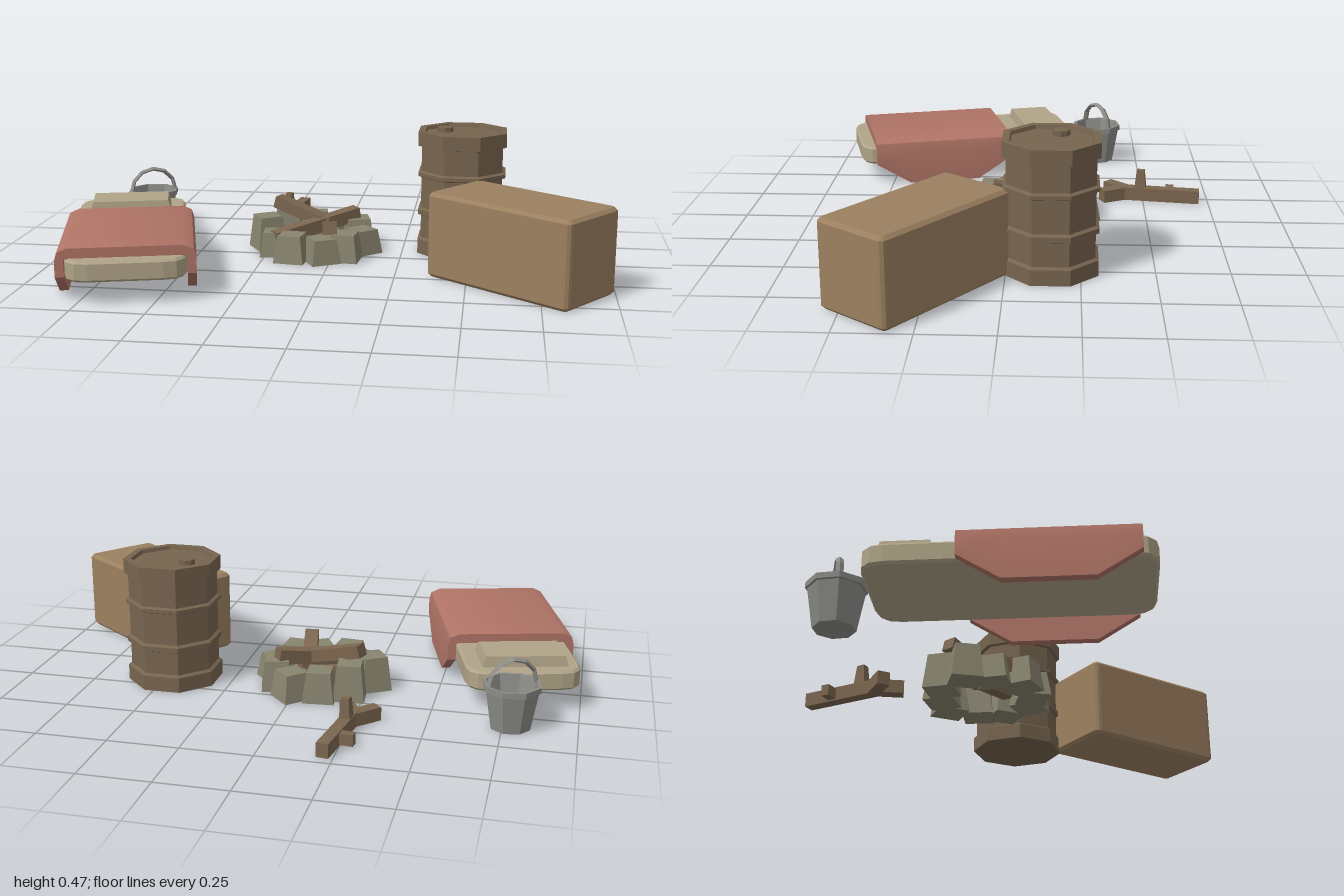
import * as THREE from 'three';
import { toCreasedNormals } from 'three/addons/utils/BufferGeometryUtils.js';

const mat = (color) => new THREE.MeshStandardMaterial({ color, flatShading: true, side: THREE.DoubleSide });
const CLOTH = mat(0xb0a488), RED = mat(0xb07466), CRATE = mat(0x9c8060);
const DRUM = mat(0x77644f), METAL = mat(0x8c8c88), STONE = mat(0x88846f), WOOD = mat(0x7b6650);

function add(parent, name, geometry, material, x = 0, y = 0, z = 0, ry = 0) {
  const mesh = new THREE.Mesh(geometry, material);
  mesh.name = name;
  mesh.position.set(x, y, z);
  mesh.rotation.y = ry;
  parent.add(mesh);
  return mesh;
}

function group(parent, name, x, z, ry = 0) {
  const g = new THREE.Group();
  g.name = name;
  g.position.set(x, 0, z);
  g.rotation.y = ry;
  parent.add(g);
  return g;
}

const lathe = (points, sides) =>
  new THREE.LatheGeometry(points.map(([r, y]) => new THREE.Vector2(r, y)), sides);

// Four-sided block that narrows to the top, standing on y = 0
function taperedBox(w, h, d, top) {
  const geo = new THREE.BoxGeometry(w, h, d).translate(0, h / 2, 0);
  const p = geo.attributes.position;
  for (let i = 0; i < p.count; i++) {
    if (p.getY(i) > h / 2) p.setXYZ(i, p.getX(i) * top, h, p.getZ(i) * top);
  }
  return geo;
}

// Rounded slab lying flat, with a small bevel
function slab(w, d, h, r, bevel) {
  const x = w / 2 - bevel, y = d / 2 - bevel;
  const s = new THREE.Shape();
  s.moveTo(-x + r, -y);
  s.lineTo(x - r, -y).quadraticCurveTo(x, -y, x, -y + r);
  s.lineTo(x, y - r).quadraticCurveTo(x, y, x - r, y);
  s.lineTo(-x + r, y).quadraticCurveTo(-x, y, -x, y - r);
  s.lineTo(-x, -y + r).quadraticCurveTo(-x, -y, -x + r, -y);
  return new THREE.ExtrudeGeometry(s, {
    depth: h - 2 * bevel, bevelSize: bevel, bevelThickness: bevel, bevelSegments: 1, curveSegments: 3,
  }).rotateX(-Math.PI / 2).translate(0, bevel, 0);
}

// Blanket folded over the bed; its side hems dip towards the middle
function blanketGeometry() {
  const stations = [[-0.275, 0.085], [-0.14, 0], [0.14, 0], [0.275, 0.085]];
  const section = (hem) => [
    [-0.23, hem], [-0.23, 0.14], [-0.222, 0.168], [-0.19, 0.182],
    [0.19, 0.182], [0.222, 0.168], [0.23, 0.14], [0.23, hem],
    [0.2, hem], [0.2, 0.146], [-0.2, 0.146], [-0.2, hem],
  ];
  const pos = [], index = [], n = 12;
  for (const [z, hem] of stations) for (const [x, y] of section(hem)) pos.push(x, y, z);
  for (let k = 0; k < 3; k++) {
    for (let i = 0; i < n; i++) {
      const a = k * n + i, b = k * n + (i + 1) % n, c = b + n, d = a + n;
      index.push(a, d, c, a, c, b);
    }
  }
  const cap = [[0, 1, 10], [0, 10, 11], [1, 2, 10], [2, 3, 10], [3, 4, 9], [3, 9, 10],
    [4, 5, 9], [5, 6, 9], [6, 7, 8], [6, 8, 9]];
  for (const [a, b, c] of cap) index.push(a, b, c, c + 3 * n, b + 3 * n, a + 3 * n);
  const geo = new THREE.BufferGeometry();
  geo.setAttribute('position', new THREE.Float32BufferAttribute(pos, 3));
  geo.setIndex(index);
  return toCreasedNormals(geo, 0.7);
}

// Squared stick between two points
function beam(parent, name, a, b, w, h) {
  const from = new THREE.Vector3(...a), to = new THREE.Vector3(...b);
  const mesh = new THREE.Mesh(new THREE.BoxGeometry(w, h, from.distanceTo(to)), WOOD);
  mesh.name = name;
  mesh.position.copy(from).lerp(to, 0.5);
  mesh.lookAt(to);
  parent.add(mesh);
}

export function createModel() {
  const model = new THREE.Group();
  model.name = 'campsite';

  // Bed with pillow and blanket
  const bed = group(model, 'bed', -0.7, 0.235, 0.262);
  add(bed, 'mattress', slab(0.4, 0.895, 0.07, 0.07, 0.008), CLOTH, 0, 0.078, 0);
  add(bed, 'pillow', taperedBox(0.3, 0.038, 0.165, 0.93), CLOTH, -0.005, 0.147, -0.315);
  const blanketMat = RED.clone();
  blanketMat.flatShading = false;
  add(bed, 'blanket', blanketGeometry(), blanketMat, 0, 0, 0.122);

  // Crate with chamfered edges
  add(model, 'crate', slab(0.59, 0.29, 0.302, 0.012, 0.012), CRATE, 0.679, 0, 0.273, -0.648);

  // Ribbed eight-sided drum
  const drum = group(model, 'drum', 0.467, -0.15, Math.PI / 8);
  add(drum, 'drumBody', lathe([
    [0, 0], [0.172, 0], [0.172, 0.055], [0.16, 0.062], [0.16, 0.145], [0.172, 0.15], [0.172, 0.168],
    [0.16, 0.175], [0.16, 0.29], [0.172, 0.295], [0.172, 0.308], [0.16, 0.314], [0.16, 0.405],
    [0.174, 0.408], [0.174, 0.46], [0.148, 0.46], [0.145, 0.447], [0, 0.447],
  ], 8), DRUM);
  add(model, 'drumCap', new THREE.CylinderGeometry(0.03, 0.03, 0.02, 8), DRUM, 0.4, 0.455, -0.18);

  // Bucket with a strap handle
  const bucket = group(model, 'bucket', -0.775, -0.33, 0.55);
  add(bucket, 'bucketBody', lathe([
    [0, 0], [0.07, 0], [0.093, 0.135], [0.1, 0.137], [0.1, 0.157], [0.09, 0.157], [0.064, 0.012], [0, 0.012],
  ], 8), METAL);
  const handle = add(bucket, 'bucketHandle', new THREE.TorusGeometry(0.09, 0.008, 4, 6, Math.PI), METAL, 0, 0.15, 0);
  handle.scale.z = 1.6;

  // Ring of stones: x, z, turn, height
  const fire = group(model, 'campfire', 0, 0);
  const stones = [
    [-0.2, -0.2, 0.1, 0.13], [-0.1, -0.24, 0.08, 0.11], [0, -0.25, 0.75, 0.1], [0.075, -0.165, 0.25, 0.11],
    [0.1, -0.07, 0.75, 0.09], [0.05, 0.04, -0.1, 0.1], [-0.03, 0.08, 0.5, 0.09], [-0.14, 0.08, -0.12, 0.1],
    [-0.215, 0, 0.1, 0.09], [-0.26, -0.09, 0.55, 0.125],
  ];
  for (const [x, z, turn, h] of stones) {
    add(fire, 'stone', taperedBox(0.112, h, 0.112, 0.76), STONE, x, 0, z, turn);
  }

  // Logs stacked over the fire
  beam(fire, 'log', [-0.235, 0.165, -0.165], [-0.02, 0.1, -0.085], 0.05, 0.045);
  beam(fire, 'log', [-0.21, 0.07, 0.04], [0.07, 0.125, -0.175], 0.05, 0.05);
  beam(fire, 'log', [-0.03, 0.08, -0.1], [0, 0.125, 0.07], 0.05, 0.05);
  beam(fire, 'log', [-0.17, 0.03, -0.06], [0.02, 0.06, -0.03], 0.045, 0.045);

  // Forked branch lying on the ground
  const branch = group(model, 'branch', 0, 0);
  beam(branch, 'branchStem', [-0.215, 0.025, -0.715], [-0.258, 0.025, -0.415], 0.042, 0.05);
  beam(branch, 'branchFork', [-0.255, 0.024, -0.44], [-0.33, 0.024, -0.365], 0.045, 0.048);
  beam(branch, 'branchFork', [-0.26, 0.024, -0.43], [-0.215, 0.024, -0.34], 0.045, 0.048);
  beam(branch, 'branchTwig', [-0.23, 0.025, -0.6], [-0.298, 0.025, -0.608], 0.03, 0.04);
  add(branch, 'branchStub', taperedBox(0.04, 0.08, 0.045, 0.65), WOOD, -0.247, 0.04, -0.49, -0.14);

  return model;
}
